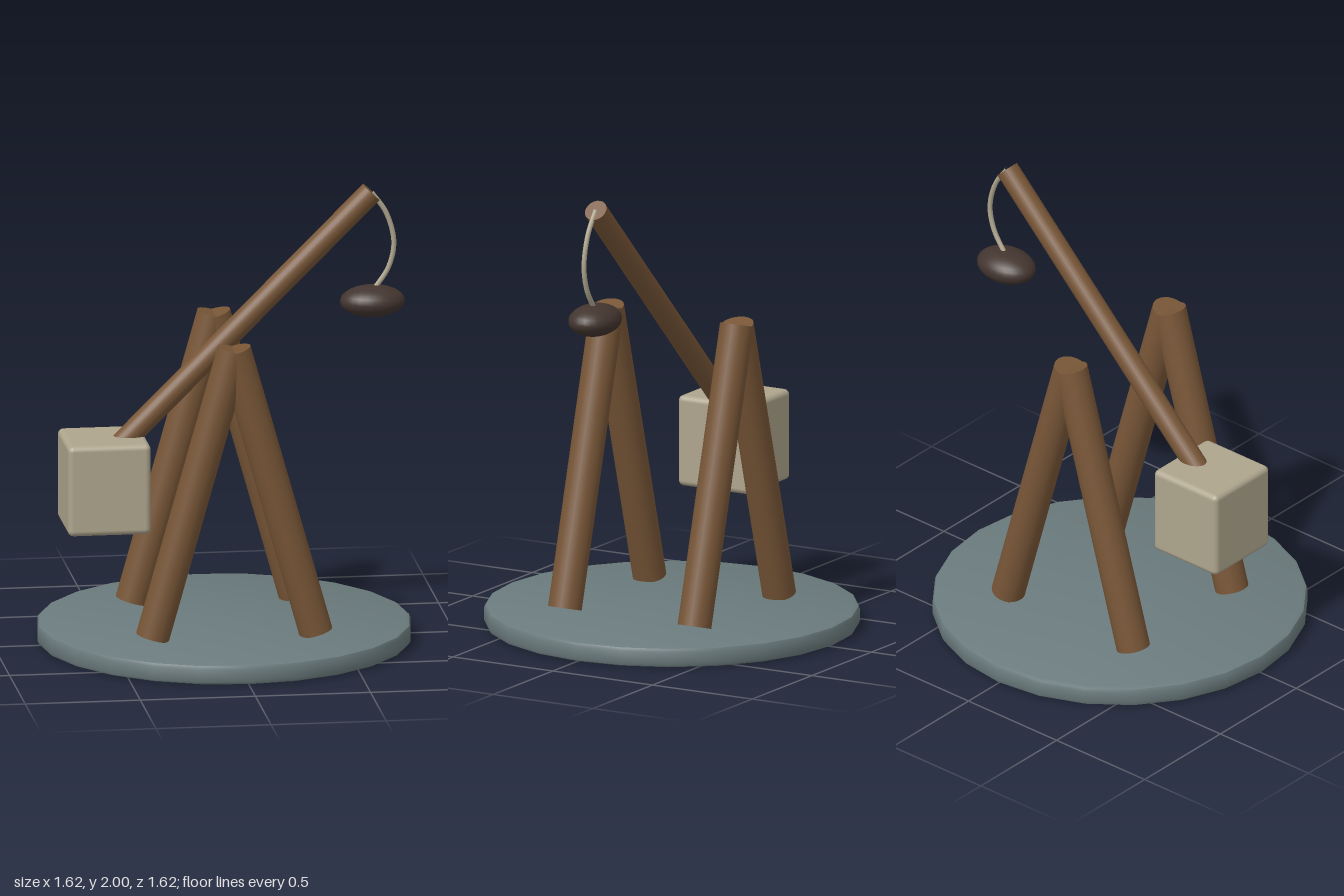
import * as THREE from 'three';
import { toCreasedNormals } from 'three/addons/utils/BufferGeometryUtils.js';
import { RoundedBoxGeometry } from 'three/addons/geometries/RoundedBoxGeometry.js';

const material = (name, color) => {
  const m = new THREE.MeshStandardMaterial({ color });
  m.name = name;
  return m;
};

export function createModel() {
  const model = new THREE.Group();
  const wood = material('wood', 0x785637);
  const stone = material('slate base', 0x6b7b7d);
  const pale = material('pale stone', 0xaea58d);
  const leather = material('dark leather', 0x43352f);

  const add = (name, geometry, mat) => {
    const mesh = new THREE.Mesh(geometry, mat);
    mesh.name = name;
    model.add(mesh);
    return mesh;
  };

  // Round pole between two points
  const pole = (name, from, to, radius) => {
    const a = new THREE.Vector3(...from);
    const b = new THREE.Vector3(...to);
    const mesh = add(name, new THREE.CylinderGeometry(radius, radius, a.distanceTo(b), 24), wood);
    mesh.position.copy(a).add(b).multiplyScalar(0.5);
    mesh.quaternion.setFromUnitVectors(new THREE.Vector3(0, 1, 0), b.sub(a).normalize());
  };

  // Base disc with a softened rim
  const rim = [
    [0, 0], [0.79, 0], [0.804, 0.006], [0.81, 0.02],
    [0.81, 0.07], [0.804, 0.084], [0.79, 0.09], [0, 0.09],
  ].map(([r, y]) => new THREE.Vector2(r, y));
  add('base', toCreasedNormals(new THREE.LatheGeometry(rim, 24), 0.6), stone);

  // Two A-frames
  for (const z of [0.325, -0.325]) {
    for (const x of [-0.355, 0.355]) {
      pole(z > 0 ? 'frontLeg' : 'backLeg', [x, 0.103, z], [0, 1.367, z], 0.073);
    }
  }

  // Throwing arm and counterweight
  pole('throwingArm', [-0.5, 0.83, 0], [0.64, 1.965, 0], 0.05);
  add('counterweight', new RoundedBoxGeometry(0.36, 0.4, 0.36, 3, 0.025), pale)
    .position.set(-0.52, 0.72, 0);

  // Sling rope and pouch
  const rope = new THREE.CatmullRomCurve3([
    [0.64, 1.965], [0.705, 1.87], [0.738, 1.74], [0.715, 1.63], [0.65, 1.53],
  ].map(([x, y]) => new THREE.Vector3(x, y, 0)));
  add('slingRope', new THREE.TubeGeometry(rope, 24, 0.011, 8), pale);
  const pouch = add('slingPouch', new THREE.SphereGeometry(1, 24, 16), leather);
  pouch.scale.set(0.141, 0.069, 0.106);
  pouch.position.set(0.645, 1.482, 0);

  return model;
}
